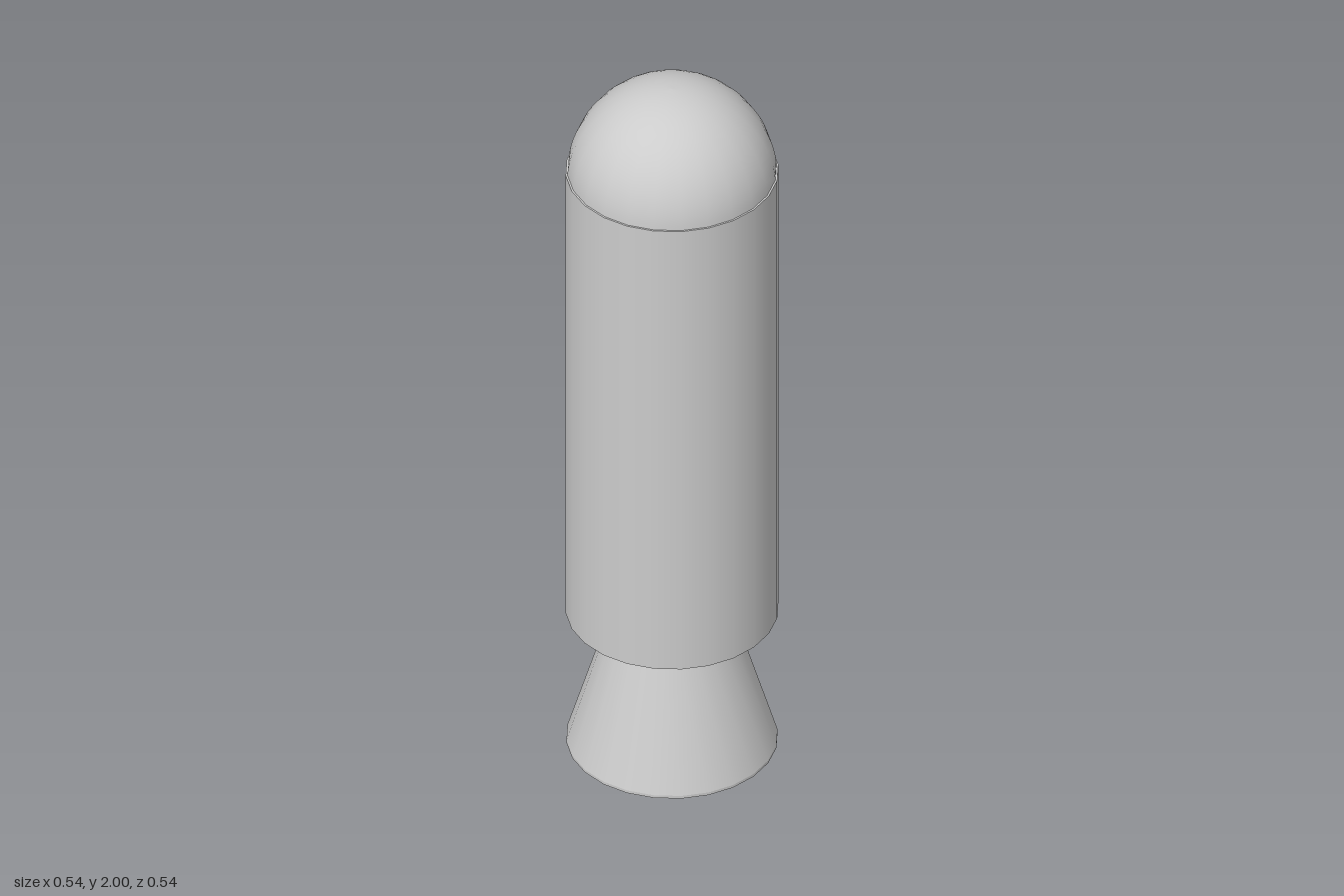
import * as THREE from 'three';

const SIDES = 24;

export function createModel() {
  const model = new THREE.Group();
  const material = new THREE.MeshStandardMaterial({ color: 0xcccccc });

  // Each profile run is its own lathe, so edges between runs stay sharp.
  function turned(name, ...runs) {
    const part = new THREE.Group();
    part.name = name;
    for (const run of runs) {
      const points = run.map(([r, y]) => new THREE.Vector2(r, y));
      const mesh = new THREE.Mesh(new THREE.LatheGeometry(points, SIDES), material);
      mesh.name = name + 'Surface';
      part.add(mesh);
    }
    model.add(part);
  }

  // Cylindrical casing with a flat rim below and a hair-thin ledge under the dome
  turned('casing',
    [[0.22, 0.42], [0.22, 0.4]],
    [[0.22, 0.4], [0.268, 0.4]],
    [[0.268, 0.4], [0.268, 1.75]],
    [[0.268, 1.75], [0.263, 1.75]]);

  // Hemispherical nose
  const noseRadius = 0.264;
  const nose = [];
  for (let i = 0; i <= 16; i++) {
    const a = (i / 16) * Math.PI / 2;
    nose.push([noseRadius * Math.cos(a), 2 - noseRadius + noseRadius * Math.sin(a)]);
  }
  turned('nose', nose);

  // Tapered collar between casing and nozzle
  turned('collar', [[0.16, 0.36], [0.22, 0.42]]);

  // Hollow flared nozzle: throat cap, inner wall, rim, lip and outer wall
  turned('nozzle',
    [[0, 0.35], [0.148, 0.35]],
    [[0.148, 0.35], [0.255, 0]],
    [[0.255, 0], [0.266, 0]],
    [[0.266, 0], [0.266, 0.008]],
    [[0.266, 0.008], [0.16, 0.36]]);

  return model;
}
